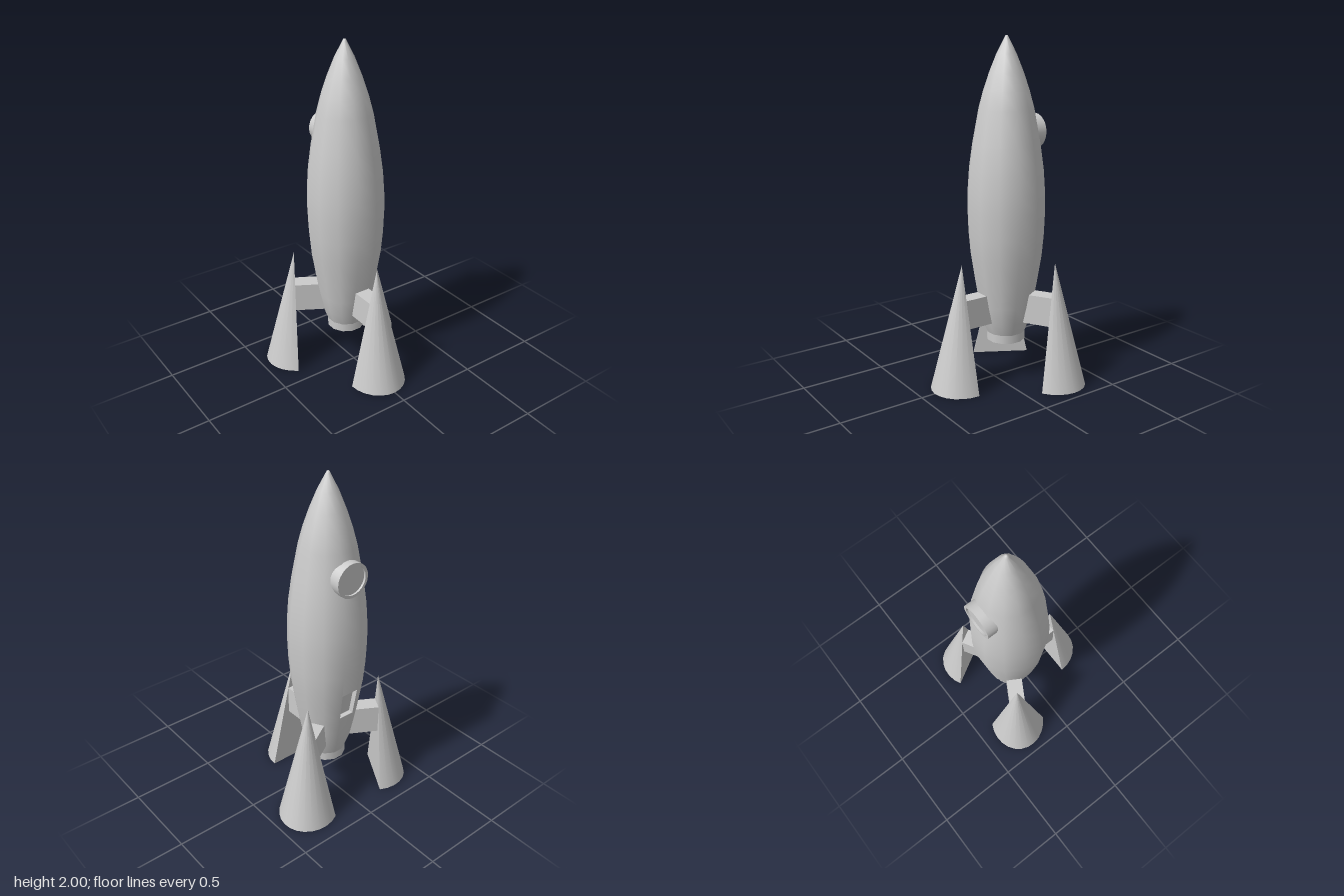
import * as THREE from 'three';

const AXIS_Z = -0.085;           // hull axis
const SIDES = 12, STEP = Math.PI / 6;
const HATCH = { y0: 0.58, a0: 0.177, y1: 0.75, a1: 0.203, depth: 0.03 };

const grey = (side = THREE.FrontSide) => new THREE.MeshStandardMaterial({ color: 0xcccccc, side });

function add(parent, name, geometry, side) {
  const mesh = new THREE.Mesh(geometry, grey(side));
  mesh.name = name;
  parent.add(mesh);
  return mesh;
}

// Profiles give flat-to-axis distances; a lathe needs corner radii.
const profile = (pts) => pts.map(([a, y]) => new THREE.Vector2(a / Math.cos(STEP / 2), y));

function buildHull() {
  const hull = new THREE.Group();
  hull.name = 'hull';
  // Repeated points keep an edge sharp.
  const lower = [
    [0, 0.29], [0.092, 0.29], [0.092, 0.29], [0.096, 0.23], [0.096, 0.23], [0.11, 0.23], [0.11, 0.23],
    [0.11, 0.28], [0.11, 0.28], [0.138, 0.36], [0.157, 0.46], [HATCH.a0, HATCH.y0],
  ];
  const upper = [
    [HATCH.a1, HATCH.y1], [0.214, 0.88], [0.219, 1.02], [0.217, 1.13], [0.208, 1.26], [0.189, 1.4],
    [0.153, 1.6], [0.127, 1.7], [0.094, 1.8], [0.055, 1.9], [0.013, 1.985], [0.007, 1.997], [0, 2],
  ];
  // Eleven full panels, then the back panel split around the hatch
  const back = Math.PI - STEP / 2;
  add(hull, 'hullShell', new THREE.LatheGeometry(profile([...lower, ...upper]), SIDES - 1, back + STEP, STEP * (SIDES - 1)));
  add(hull, 'backPanelLower', new THREE.LatheGeometry(profile(lower), 1, back, STEP));
  add(hull, 'backPanelUpper', new THREE.LatheGeometry(profile(upper), 1, back, STEP));

  // Hatch recess: an open box seen from the inside, fitted to the sloping panel
  const recess = new THREE.BoxGeometry(1, 1, 1);
  const p = recess.attributes.position;
  for (let i = 0; i < p.count; i++) {
    const top = p.getY(i) > 0;
    const a = top ? HATCH.a1 : HATCH.a0;
    const z = p.getZ(i) < 0 ? -a : -a + HATCH.depth;
    p.setXYZ(i, Math.sign(p.getX(i)) * a * Math.tan(STEP / 2), top ? HATCH.y1 : HATCH.y0, z);
  }
  recess.setIndex(Array.from(recess.index.array).slice(0, 30)); // drop the outer face
  recess.computeVertexNormals();
  add(hull, 'hatchRecess', recess, THREE.BackSide);
  return hull;
}

// Round porthole facing the back
function buildPorthole() {
  const pts = [[0.1, 0], [0.1, 0.09], [0.1, 0.09], [0.084, 0.09], [0.084, 0.09], [0.084, 0.078], [0.084, 0.078], [0, 0.078]];
  const geometry = new THREE.LatheGeometry(pts.map(([r, y]) => new THREE.Vector2(r, y)), 24);
  geometry.rotateX(-Math.PI / 2).scale(1.04, 1, 1);
  geometry.translate(0, 1.46, -0.117);
  const mesh = new THREE.Mesh(geometry, grey());
  mesh.name = 'porthole';
  return mesh;
}

// Half-cone landing leg with a flat inner face, joined by a box strut
function buildLeg(angle, name) {
  const leg = new THREE.Group();
  leg.name = name;
  const height = 0.735, halfWidth = 0.172, depth = 0.193, distance = 0.307;

  const cone = new THREE.ConeGeometry(1, height, 12, 1, false, -Math.PI / 2, Math.PI);
  cone.scale(halfWidth, 1, depth).translate(0, height / 2, distance);
  add(leg, 'legCone', cone);

  const triangle = new THREE.Shape([
    new THREE.Vector2(-halfWidth, 0), new THREE.Vector2(halfWidth, 0), new THREE.Vector2(0, height),
  ]);
  add(leg, 'legInnerFace', new THREE.ShapeGeometry(triangle).rotateY(Math.PI).translate(0, 0, distance));

  const strut = new THREE.BoxGeometry(0.094, 0.175, 0.207);
  add(leg, 'strut', strut.translate(0, 0.447, distance - 0.1035));
  leg.rotation.y = angle;
  return leg;
}

export function createModel() {
  const rocket = new THREE.Group();
  rocket.name = 'rocket';
  rocket.add(buildHull(), buildPorthole());
  ['frontLeg', 'backLeftLeg', 'backRightLeg'].forEach((name, i) => {
    rocket.add(buildLeg(i * Math.PI * 2 / 3, name));
  });
  rocket.position.z = AXIS_Z;

  const model = new THREE.Group();
  model.add(rocket);
  return model;
}
